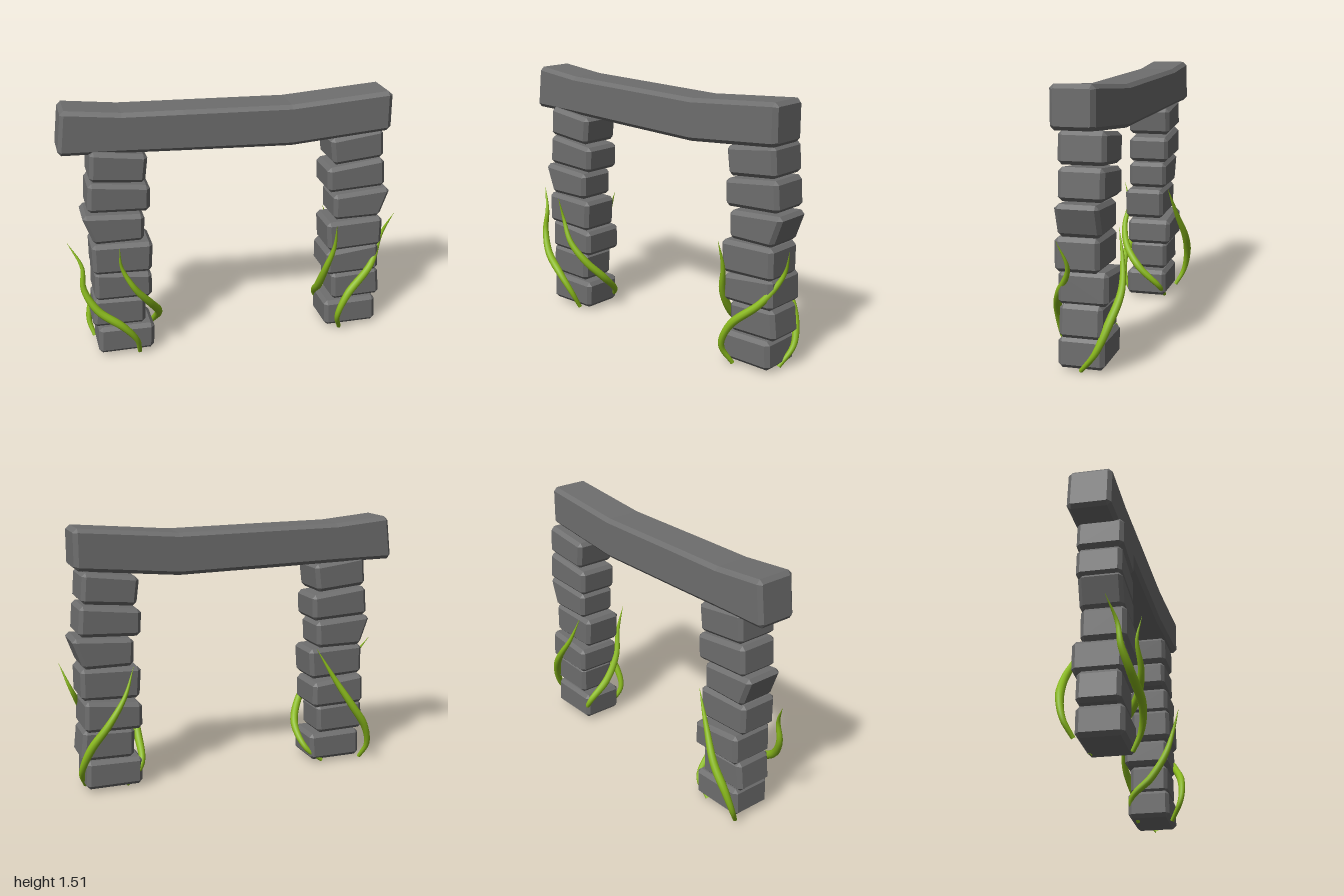
import * as THREE from 'three';
import { ConvexGeometry } from 'three/addons/geometries/ConvexGeometry.js';

const stone = new THREE.MeshStandardMaterial({ color: 0x6e6e6e });
stone.name = 'stone grey';
const leaf = new THREE.MeshStandardMaterial({ color: 0x8aba1c });
leaf.name = 'vine green';

function mesh(name, geometry, material) {
  const m = new THREE.Mesh(geometry, material);
  m.name = name;
  return m;
}

// Chamfered block: outline is bottom left, bottom right, top right, top left
function block(outline, z0, z1, c = 0.022) {
  const points = [];
  outline.forEach(([x, y], i) => {
    const sx = i === 1 || i === 2 ? -c : c;
    const sy = i > 1 ? -c : c;
    for (const [z, sz] of [[z0, c], [z1, -c]]) {
      points.push(
        new THREE.Vector3(x, y + sy, z + sz),
        new THREE.Vector3(x + sx, y, z + sz),
        new THREE.Vector3(x + sx, y + sy, z));
    }
  });
  return new ConvexGeometry(points);
}

// Sagging chamfered beam, lofted from octagonal sections along x
function beam(stations) {
  const pos = [], index = [];
  for (const { xb, xt, yb, yt, inset = 0 } of stations) {
    const c = inset ? 0.005 : 0.022;
    const b = yb + inset, t = yt - inset;
    const z0 = -0.118 + 0.037 * xb + inset, z1 = z0 + 0.243 - 2 * inset;
    const ring = [[t, z0 + c], [t, z1 - c], [t - c, z1], [b + c, z1],
      [b, z1 - c], [b, z0 + c], [b + c, z0], [t - c, z0]];
    for (const [y, z] of ring) {
      pos.push(THREE.MathUtils.mapLinear(y, yb, yt, xb, xt), y, z);
    }
  }
  const last = (stations.length - 1) * 8;
  for (let s = 0; s < last; s += 8) {
    for (let j = 0; j < 8; j++) {
      const k = (j + 1) % 8;
      index.push(s + j, s + k, s + 8 + k, s + j, s + 8 + k, s + 8 + j);
    }
  }
  for (let j = 1; j < 7; j++) {
    index.push(0, j + 1, j, last, last + j, last + j + 1);
  }
  const g = new THREE.BufferGeometry();
  g.setAttribute('position', new THREE.Float32BufferAttribute(pos, 3));
  g.setIndex(index);
  const flat = g.toNonIndexed();
  flat.computeVertexNormals();
  return flat;
}

// Vine tube that thickens in the middle and tapers to a pointed tip
function vine(path) {
  const curve = new THREE.CatmullRomCurve3(path.map(p => new THREE.Vector3(...p)));
  const steps = 36, sides = 10;
  const g = new THREE.TubeGeometry(curve, steps, 0.024, sides);
  const pos = g.attributes.position;
  const v = new THREE.Vector3(), centre = new THREE.Vector3();
  for (let i = 0; i <= steps; i++) {
    const t = i / steps;
    const r = t < 0.35
      ? THREE.MathUtils.lerp(0.5, 1, t / 0.35)
      : Math.max(0.03, 1 - Math.pow((t - 0.35) / 0.65, 2));
    curve.getPointAt(t, centre);
    for (let j = 0; j <= sides; j++) {
      const n = i * (sides + 1) + j;
      v.fromBufferAttribute(pos, n).sub(centre).multiplyScalar(r).add(centre);
      pos.setXYZ(n, v.x, v.y, v.z);
    }
  }
  g.computeVertexNormals();
  // Keep the normals matched across the tube seam
  const nor = g.attributes.normal;
  for (let i = 0; i <= steps; i++) {
    const a = i * (sides + 1), b = a + sides;
    v.fromBufferAttribute(nor, a).add(centre.fromBufferAttribute(nor, b)).normalize();
    nor.setXYZ(a, v.x, v.y, v.z);
    nor.setXYZ(b, v.x, v.y, v.z);
  }
  return g;
}

// Stones from the ground up: outline corners, then back and front z
const STONES = [
  [[[-0.84, 0.025], [-0.51, 0.025], [-0.505, 0.19], [-0.835, 0.195]], -0.12, 0.135],
  [[[-0.865, 0.2], [-0.555, 0.195], [-0.55, 0.37], [-0.85, 0.38]], -0.115, 0.12],
  [[[-0.845, 0.375], [-0.51, 0.37], [-0.51, 0.525], [-0.84, 0.555]], -0.145, 0.13],
  [[[-0.85, 0.55], [-0.51, 0.54], [-0.5, 0.725], [-0.85, 0.735]], -0.1, 0.145],
  [[[-0.84, 0.735], [-0.545, 0.735], [-0.54, 0.895], [-0.89, 0.915]], -0.11, 0.13],
  [[[-0.86, 0.925], [-0.505, 0.91], [-0.5, 1.065], [-0.85, 1.1]], -0.13, 0.12],
  [[[-0.84, 1.11], [-0.525, 1.085], [-0.51, 1.25], [-0.83, 1.285]], -0.135, 0.125],
];

// Vine paths from root to tip
const LEFT_VINES = [
  [[-0.6, 0.015, 0.13], [-0.62, 0.12, 0.18], [-0.7, 0.23, 0.2], [-0.84, 0.34, 0.17],
    [-0.91, 0.47, 0.13], [-0.91, 0.6, 0.11], [-0.98, 0.735, 0.06]],
  [[-0.59, 0.015, -0.1], [-0.49, 0.1, -0.08], [-0.465, 0.22, 0.04], [-0.53, 0.34, 0.14],
    [-0.62, 0.46, 0.18], [-0.69, 0.6, 0.17], [-0.7, 0.735, 0.2]],
  [[-0.84, 0.015, -0.12], [-0.865, 0.11, -0.17], [-0.83, 0.24, -0.2], [-0.74, 0.38, -0.205],
    [-0.64, 0.54, -0.17], [-0.53, 0.735, -0.13]],
];
const RIGHT_VINES = [
  [[0.655, 0.015, 0.14], [0.62, 0.13, 0.2], [0.68, 0.27, 0.2], [0.84, 0.42, 0.14],
    [0.93, 0.58, 0.06], [0.99, 0.735, 0.1]],
  [[0.65, 0.015, -0.07], [0.57, 0.14, -0.1], [0.55, 0.27, 0.03], [0.56, 0.42, 0.12],
    [0.595, 0.58, 0.165], [0.59, 0.735, 0.205]],
  [[0.88, 0.015, 0.01], [0.915, 0.13, -0.08], [0.87, 0.28, -0.14], [0.77, 0.43, -0.18],
    [0.67, 0.58, -0.16], [0.61, 0.735, -0.125]],
];

export function createModel() {
  const model = new THREE.Group();
  model.name = 'stoneGateway';

  // Two stacked pillars; the right one mirrors the left
  for (const side of ['left', 'right']) {
    const pillar = new THREE.Group();
    pillar.name = side === 'left' ? 'pillarAtMinusX' : 'pillarAtPlusX';
    STONES.forEach(([outline, z0, z1], i) => {
      const shape = side === 'left' ? outline
        : [1, 0, 3, 2].map(k => [0.055 - outline[k][0], outline[k][1]]);
      pillar.add(mesh('pillarStone' + (i + 1), block(shape, z0, z1), stone));
    });
    const paths = side === 'left' ? LEFT_VINES : RIGHT_VINES;
    paths.forEach((p, i) => pillar.add(mesh('vine' + (i + 1), vine(p), leaf)));
    model.add(pillar);
  }

  // Lintel
  model.add(mesh('lintel', beam([
    { xb: -1, xt: -0.97, yb: 1.265, yt: 1.52, inset: 0.022 },
    { xb: -0.98, xt: -0.95, yb: 1.265, yt: 1.52 },
    { xb: -0.66, xt: -0.64, yb: 1.26, yt: 1.49 },
    { xb: -0.3, xt: -0.3, yb: 1.25, yt: 1.485 },
    { xb: 0.32, xt: 0.32, yb: 1.235, yt: 1.475 },
    { xb: 0.89, xt: 0.89, yb: 1.285, yt: 1.52 },
    { xb: 0.915, xt: 0.915, yb: 1.285, yt: 1.52, inset: 0.022 },
  ]), stone));

  return model;
}
